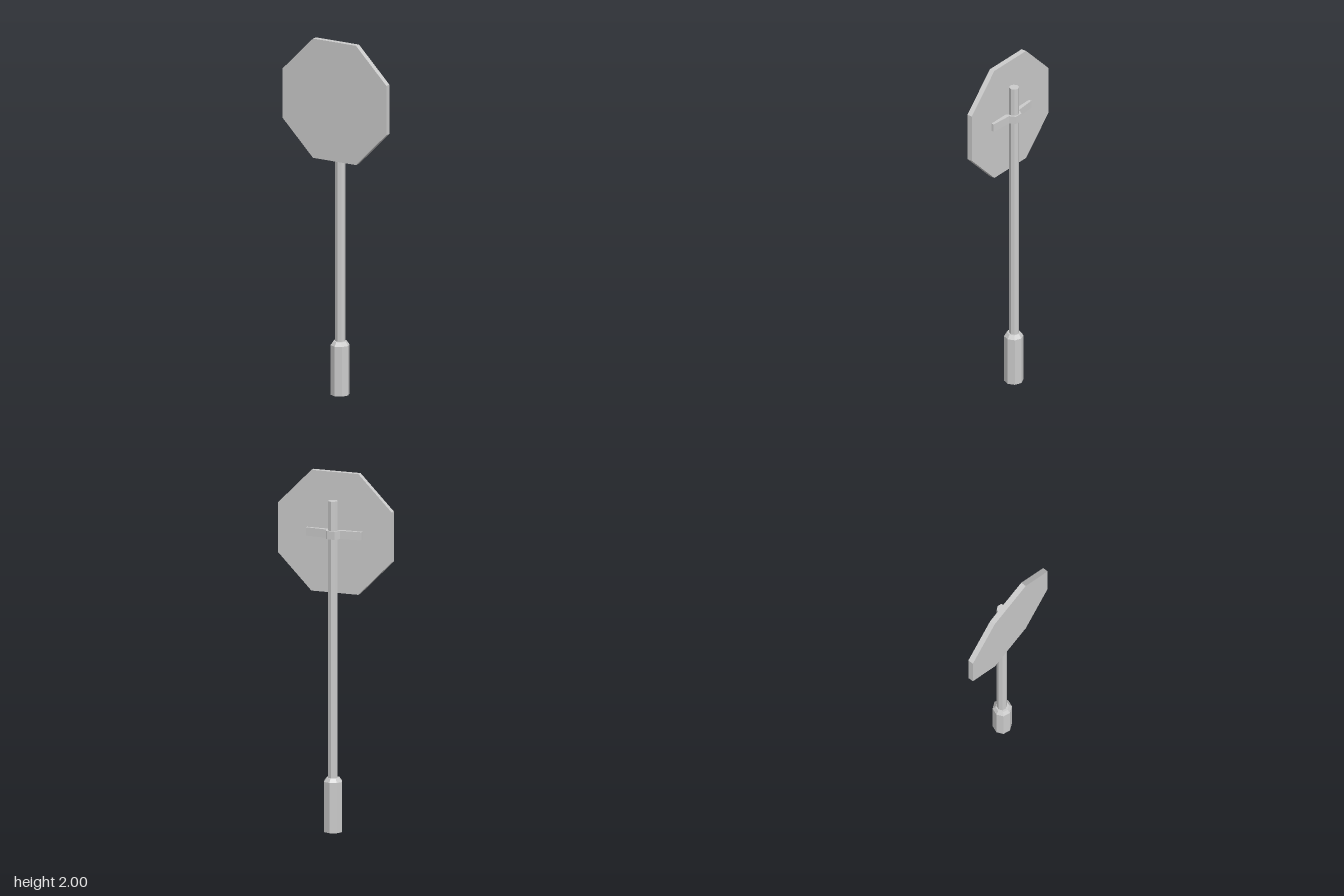
import * as THREE from 'three';

const material = new THREE.MeshStandardMaterial({ color: 0xcccccc, flatShading: true });

function addPart(group, name, geometry, x, y, z) {
  const mesh = new THREE.Mesh(geometry, material);
  mesh.name = name;
  mesh.position.set(x, y, z);
  group.add(mesh);
  return mesh;
}

export function createModel() {
  const group = new THREE.Group();
  group.name = 'roadSign';

  // Octagonal base sleeve with a chamfered shoulder
  const sleeve = [[0, 0], [0.053, 0], [0.053, 0.28], [0.037, 0.302], [0, 0.302]];
  addPart(group, 'baseSleeve',
    new THREE.LatheGeometry(sleeve.map(([r, y]) => new THREE.Vector2(r, y)), 8), 0, 0, -0.002);

  // Eight-sided post
  const postBottom = 0.29, postTop = 1.845;
  addPart(group, 'post',
    new THREE.CylinderGeometry(0.028, 0.028, postTop - postBottom, 8),
    0, (postTop + postBottom) / 2, -0.005);

  // Octagonal sign plate, flat edge on top
  const plate = new THREE.CylinderGeometry(0.3645, 0.3645, 0.031, 8);
  plate.rotateY(Math.PI / 8);
  plate.rotateX(Math.PI / 2);
  addPart(group, 'signPlate', plate, 0, 1.6635, 0.0375);

  // Clamp wrapped behind the post: half outline (x, z), mirrored and extruded upwards
  const half = [[0.018, -0.022], [0.036, 0.022], [0.165, 0.022], [0.165, 0.006], [0.042, -0.004], [0.025, -0.038]];
  const outline = [...half, ...half.map(([x, z]) => [-x, z]).reverse()];
  const clampShape = new THREE.Shape(outline.map(([x, z]) => new THREE.Vector2(x, -z)));
  const clamp = new THREE.ExtrudeGeometry(clampShape, { depth: 0.046, bevelEnabled: false });
  clamp.rotateX(-Math.PI / 2);
  addPart(group, 'clamp', clamp, 0, 1.635, 0);

  return group;
}
